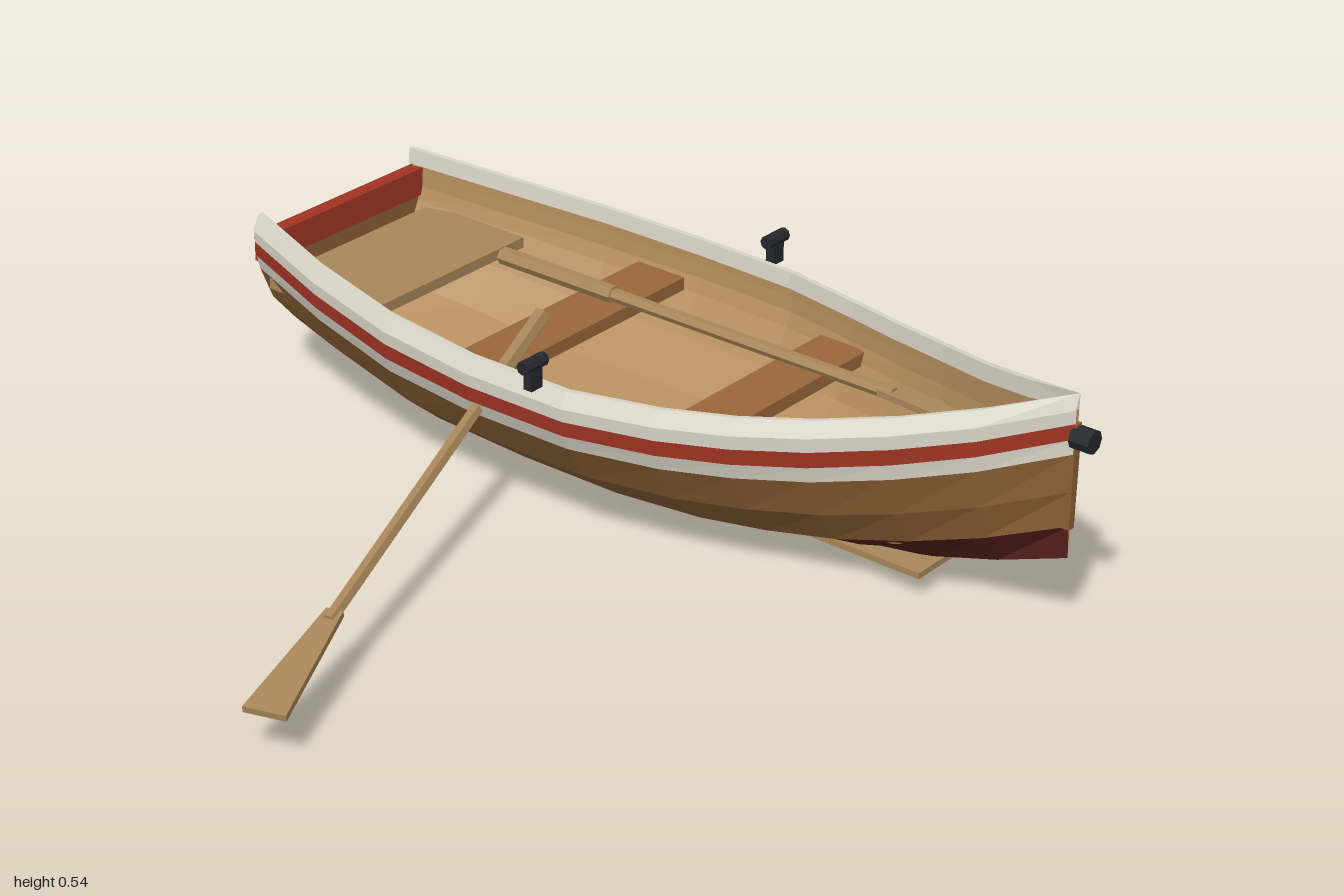
import * as THREE from 'three';

const mat = (name, color) => Object.assign(new THREE.MeshStandardMaterial({ color, flatShading: true }), { name });

export function createModel() {
  const brown = mat('hull brown', 0x8a5f34), maroon = mat('bottom maroon', 0x552019);
  const white = mat('trim white', 0xd8d3c6), red = mat('stripe red', 0xa03424);
  const inner = mat('inner planking', 0xb48d5c), tan = mat('pale wood', 0xa88659);
  const orange = mat('thwart wood', 0x99673a), black = mat('iron', 0x25272d);

  const root = new THREE.Group();
  root.name = 'rowingBoat';
  const boat = new THREE.Group();
  boat.name = 'boat';
  boat.position.z = -0.47;
  root.add(boat);

  const add = (name, geo, material, x = 0, y = 0, z = 0, parent = boat) => {
    const m = new THREE.Mesh(geo, material);
    m.name = name;
    m.position.set(x, y, z);
    parent.add(m);
    return m;
  };
  const box = (name, w, h, d, material, x, y, z) =>
    add(name, new THREE.BoxGeometry(w, h, d), material, x, y, z);

  // Hull stations: x, keel height, sheer height, half width
  const stations = [
    [-0.99, 0.07, 0.43, 0.265], [-0.75, 0.035, 0.402, 0.33], [-0.5, 0, 0.383, 0.38],
    [-0.25, 0, 0.373, 0.4], [0, 0, 0.372, 0.394], [0.2, 0.002, 0.38, 0.348],
    [0.35, 0.015, 0.393, 0.3], [0.5, 0.036, 0.415, 0.244], [0.65, 0.07, 0.445, 0.175],
    [0.8, 0.117, 0.486, 0.105], [0.96, 0.18, 0.54, 0.009],
  ];
  // Hull rows as fractions of height and half width
  const rows = [[0, 0], [0.217, 0.55], [0.45, 0.81], [0.7, 0.95], [0.8, 0.985], [0.9, 0.995], [1, 1]];

  const hullPoint = ([x, keel, sheer, half], j) =>
    [x, keel + (sheer - 0.03 - keel) * rows[j][0], half * rows[j][1]];
  const innerPoint = (st, j) => {
    const [x, y, z] = hullPoint(st, j);
    return [x, y + 0.022 * (1 - rows[j][0]), Math.max(0, z - 0.018 * rows[j][1])];
  };
  const railPoint = ([x, , sheer, half], j) => {
    const [dy, dz] = [[-0.033, 0.004], [0, -0.016], [0, -0.028], [-0.036, -0.032]][j];
    return [x, sheer + dy, Math.max(0, half + dz)];
  };

  // Mirrored skin running through all stations between two rows
  function skin(name, point, j0, j1, material, inward = false, cap = false) {
    const pos = [];
    for (const s of [1, -1]) {
      const tri = (...pts) => {
        if ((s < 0) !== inward) pts.reverse();
        for (const [x, y, z] of pts) pos.push(x, y, s * z);
      };
      for (let i = 0; i < stations.length - 1; i++) {
        for (let j = j0; j < j1; j++) {
          const a = point(stations[i], j), b = point(stations[i + 1], j);
          const c = point(stations[i + 1], j + 1), d = point(stations[i], j + 1);
          tri(a, b, c);
          tri(a, c, d);
        }
      }
      if (cap) {
        const p = [0, 1, 2, 3].map((j) => point(stations[0], j));
        tri(p[0], p[1], p[2]);
        tri(p[0], p[2], p[3]);
      }
    }
    const g = new THREE.BufferGeometry();
    g.setAttribute('position', new THREE.Float32BufferAttribute(pos, 3));
    g.computeVertexNormals();
    add(name, g, material);
  }
  skin('bottom', hullPoint, 0, 1, maroon);
  skin('planking', hullPoint, 1, 3, brown);
  skin('lowerStripe', hullPoint, 3, 4, white);
  skin('redStripe', hullPoint, 4, 5, red);
  skin('upperStripe', hullPoint, 5, 6, white);
  skin('innerPlanking', innerPoint, 0, 6, inner, true);
  skin('gunwale', railPoint, 0, 3, white, false, true);

  // Transom with its red top board, and the stem
  const edge = rows.slice(0, 6).map((_, j) => hullPoint(stations[0], j));
  const outline = [...edge.map(([, y, z]) => [z, y]), ...edge.slice(1).reverse().map(([, y, z]) => [-z, y])];
  const transom = new THREE.ExtrudeGeometry(
    new THREE.Shape(outline.map(([z, y]) => new THREE.Vector2(z, y))), { depth: 0.02, bevelEnabled: false });
  transom.rotateY(-Math.PI / 2);
  add('transom', transom, brown, -0.97);
  box('transomBoard', 0.035, 0.065, 0.51, red, -0.9825, 0.35, 0);
  box('stem', 0.02, 0.23, 0.018, brown, 0.953, 0.36, 0);

  // Seats and floor
  box('sternSeat', 0.28, 0.025, 0.525, tan, -0.81, 0.28, 0);
  box('middleThwart', 0.13, 0.03, 0.705, orange, -0.345, 0.265, 0);
  box('forwardThwart', 0.12, 0.03, 0.635, orange, 0.18, 0.265, 0);
  box('floorBoard', 1.46, 0.014, 0.13, tan, -0.07, 0.055, 0);

  // Rope coil in the bow
  add('ropeCoil', new THREE.TorusGeometry(0.082, 0.016, 6, 8).rotateX(Math.PI / 2).rotateY(Math.PI / 8),
    tan, 0.57, 0.13, 0);

  // Oarlocks and bow fitting
  for (const s of [1, -1]) {
    box('oarlockStem', 0.022, 0.06, 0.034, black, -0.07, 0.395, s * 0.4);
    add('oarlockBar', new THREE.CylinderGeometry(0.015, 0.015, 0.066, 8).rotateX(Math.PI / 2),
      black, -0.07, 0.42, s * 0.4);
  }
  add('bowRing', new THREE.CylinderGeometry(0.025, 0.025, 0.045, 8).rotateZ(Math.PI / 2), black, 0.9775, 0.447, 0);

  // Oar running from grip to blade tip, blade kept level
  function oar(name, from, to) {
    const a = new THREE.Vector3(...from), dir = new THREE.Vector3(...to).sub(a);
    const len = dir.length(), bladeStart = len * 0.77;
    dir.normalize();
    const side = new THREE.Vector3().crossVectors(dir, new THREE.Vector3(0, 1, 0)).normalize();
    const up = new THREE.Vector3().crossVectors(side, dir);
    const g = new THREE.Group();
    g.name = name;
    g.position.copy(a);
    g.quaternion.setFromRotationMatrix(new THREE.Matrix4().makeBasis(dir, up, side));
    root.add(g);
    const rod = (part, r, l) => add(part, new THREE.CylinderGeometry(r, r, l, 6).rotateZ(Math.PI / 2),
      tan, l / 2, 0, 0, g);
    rod('shaft', 0.015, bladeStart + 0.03);
    rod('grip', 0.02, 0.31);
    const shape = new THREE.Shape([[0, -0.018], [len - bladeStart, -0.045], [len - bladeStart, 0.045], [0, 0.018]]
      .map(([x, y]) => new THREE.Vector2(x, y)));
    add('blade', new THREE.ExtrudeGeometry(shape, { depth: 0.014, bevelEnabled: false })
      .rotateX(Math.PI / 2), tan, bladeStart, 0.007, 0, g);
  }
  oar('outboardOar', [-0.345, 0.315, -0.415], [0.09, 0.105, 0.875]);
  oar('stowedOar', [-0.625, 0.305, -0.61], [0.68, 0.282, -0.66]);

  return root;
}
